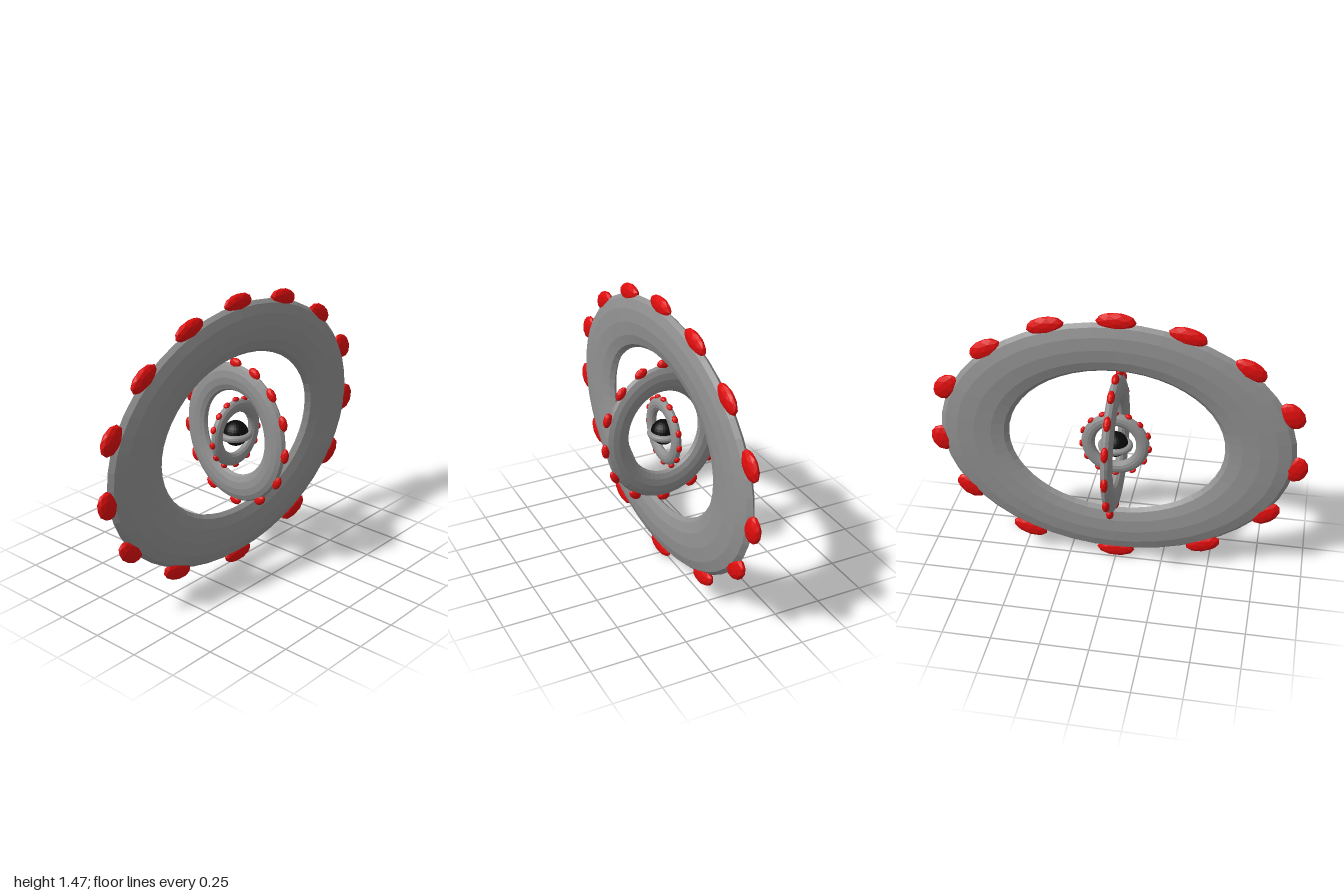
import * as THREE from 'three';

const flat = (name, color) => {
  const m = new THREE.MeshStandardMaterial({ color, flatShading: true });
  m.name = name;
  return m;
};

// Bump angles (degrees from the top) and distances for one half of a ring
const BUMPS = [[22.3, 0.685], [45.7, 0.682], [69.7, 0.692], [96, 0.682], [122, 0.684], [150, 0.692]];

// Flattened oval ring with bumps on its rim; sx, sy scale the unit ring, depth is half its thickness
function studdedRing(name, sx, sy, depth, grey, red) {
  const ring = new THREE.Group();
  ring.name = name;

  const body = new THREE.TorusGeometry(0.547, 0.133, 12, 48);
  body.scale(sx, sy, depth / 0.133);
  const band = new THREE.Mesh(body, grey);
  band.name = name + 'Band';
  ring.add(band);

  const spots = [[0, 0.686], [180, 0.688]];
  for (const [a, r] of BUMPS) spots.push([a, r], [-a, r]);
  for (const [deg, r] of spots) {
    const a = THREE.MathUtils.degToRad(deg);
    const g = new THREE.IcosahedronGeometry(1, 1);
    g.scale(0.075, 0.048, 1);
    g.rotateZ(-a);
    g.translate(Math.sin(a) * r, Math.cos(a) * r, 0);
    g.scale(sx, sy, depth * 0.65);
    const bump = new THREE.Mesh(g, red);
    bump.name = name + 'Bump';
    ring.add(bump);
  }
  return ring;
}

export function createModel() {
  const model = new THREE.Group();
  model.name = 'nestedRings';
  const grey = flat('ringGrey', 0x919191);
  const red = flat('bumpRed', 0xe00d0d);
  const black = flat('coreBlack', 0x080808);

  // Large ring, facing front with a very slight turn
  const outer = studdedRing('outerRing', 1.352, 1, 0.042, grey, red);
  outer.position.set(0, 0.737, 0.015);
  outer.rotation.y = 0.012;

  // Middle ring, turned sideways
  const middle = studdedRing('middleRing', 0.476, 0.55, 0.03, grey, red);
  middle.position.y = 0.733;
  middle.rotation.y = Math.PI / 2;

  // Small ring, facing front
  const inner = studdedRing('innerRing', 0.26, 0.262, 0.024, grey, red);
  inner.position.y = 0.735;

  // Dark core with a plain level ring around it
  const core = new THREE.Mesh(new THREE.SphereGeometry(0.066, 24, 16), black);
  core.name = 'core';
  core.position.y = 0.731;
  const coreRing = new THREE.Mesh(new THREE.TorusGeometry(0.07, 0.018, 12, 48), grey);
  coreRing.name = 'coreRing';
  coreRing.rotation.x = Math.PI / 2;
  coreRing.position.y = 0.724;
  coreRing.scale.set(1.03, 0.95, 1);

  model.add(outer, middle, inner, core, coreRing);
  return model;
}
